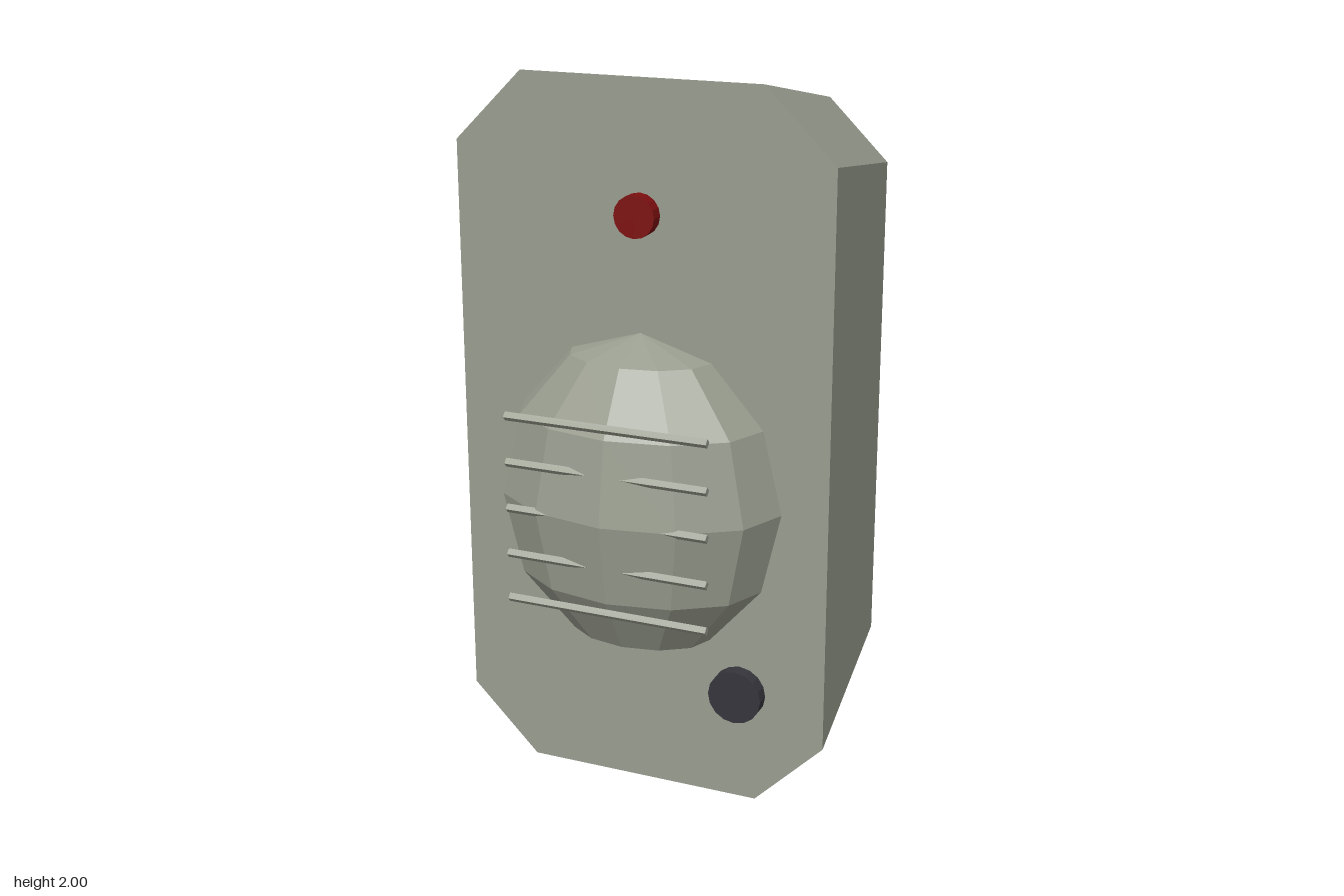
import * as THREE from 'three';

const mat = (name, color) => {
  const m = new THREE.MeshStandardMaterial({ color, flatShading: true });
  m.name = name;
  return m;
};

// Rectangle with cut corners, centred on the origin
function cutRect(w, h, cx, cy) {
  return new THREE.Shape([
    [w, -cy], [w, cy], [cx, h], [-cx, h], [-w, cy], [-w, -cy], [-cx, -h], [cx, -h],
  ].map(([x, y]) => new THREE.Vector2(x, y)));
}

export function createModel() {
  const group = new THREE.Group();
  const casing = mat('casing grey', 0x999d8f);
  const dark = mat('dark plastic', 0x36353c);
  const red = mat('lamp red', 0x7c0f10);

  const add = (name, geo, material, x, y, z) => {
    const mesh = new THREE.Mesh(geo, material);
    mesh.name = name;
    mesh.position.set(x, y, z);
    group.add(mesh);
    return mesh;
  };
  const extrude = (shape, depth) =>
    new THREE.ExtrudeGeometry(shape, { depth, bevelEnabled: false });

  // Casing, narrowing towards the back
  const body = extrude(cutRect(0.54, 1, 0.343, 0.805), 0.63);
  const p = body.attributes.position;
  for (let i = 0; i < p.count; i++) {
    const s = 0.88 + 0.12 * (p.getZ(i) / 0.63);
    p.setXY(i, p.getX(i) * s, p.getY(i) * s);
  }
  body.computeVertexNormals();
  add('casing', body, casing, 0, 1, -0.375);

  // Back plate
  add('backPlate', extrude(cutRect(0.37, 0.79, 0.295, 0.712), 0.16), dark, 0, 0.985, -0.53);

  // Clip wrapping the lower back edge, bent forward at both ends
  const clip = new THREE.Shape([
    [-0.44, -0.395], [-0.424, -0.413], [0.424, -0.413], [0.44, -0.395],
    [0.44, -0.31], [0.415, -0.29], [-0.415, -0.29], [-0.44, -0.31],
  ].map(([x, z]) => new THREE.Vector2(x, z)));
  add('clip', extrude(clip, 0.026).rotateX(Math.PI / 2), dark, 0, 0.246, 0);

  // Faceted speaker dome
  const dome = new THREE.SphereGeometry(1, 12, 6).scale(0.408, 0.46, 0.275);
  add('speakerDome', dome, casing, 0, 0.862, 0.255);

  // Grille bars across the dome
  for (let i = 0; i < 5; i++) {
    const bar = new THREE.CylinderGeometry(0.0125, 0.0125, 0.58, 4).rotateZ(Math.PI / 2);
    add('grilleBar', bar, casing, 0, 0.602 + i * 0.13, 0.488);
  }

  // Round lamp and knob
  const disc = (r) => new THREE.CylinderGeometry(r, r, 0.06, 16).rotateX(Math.PI / 2);
  add('lamp', disc(0.058), red, 0, 1.643, 0.265);
  add('knob', disc(0.077), dark, 0.293, 0.322, 0.265);

  return group;
}
